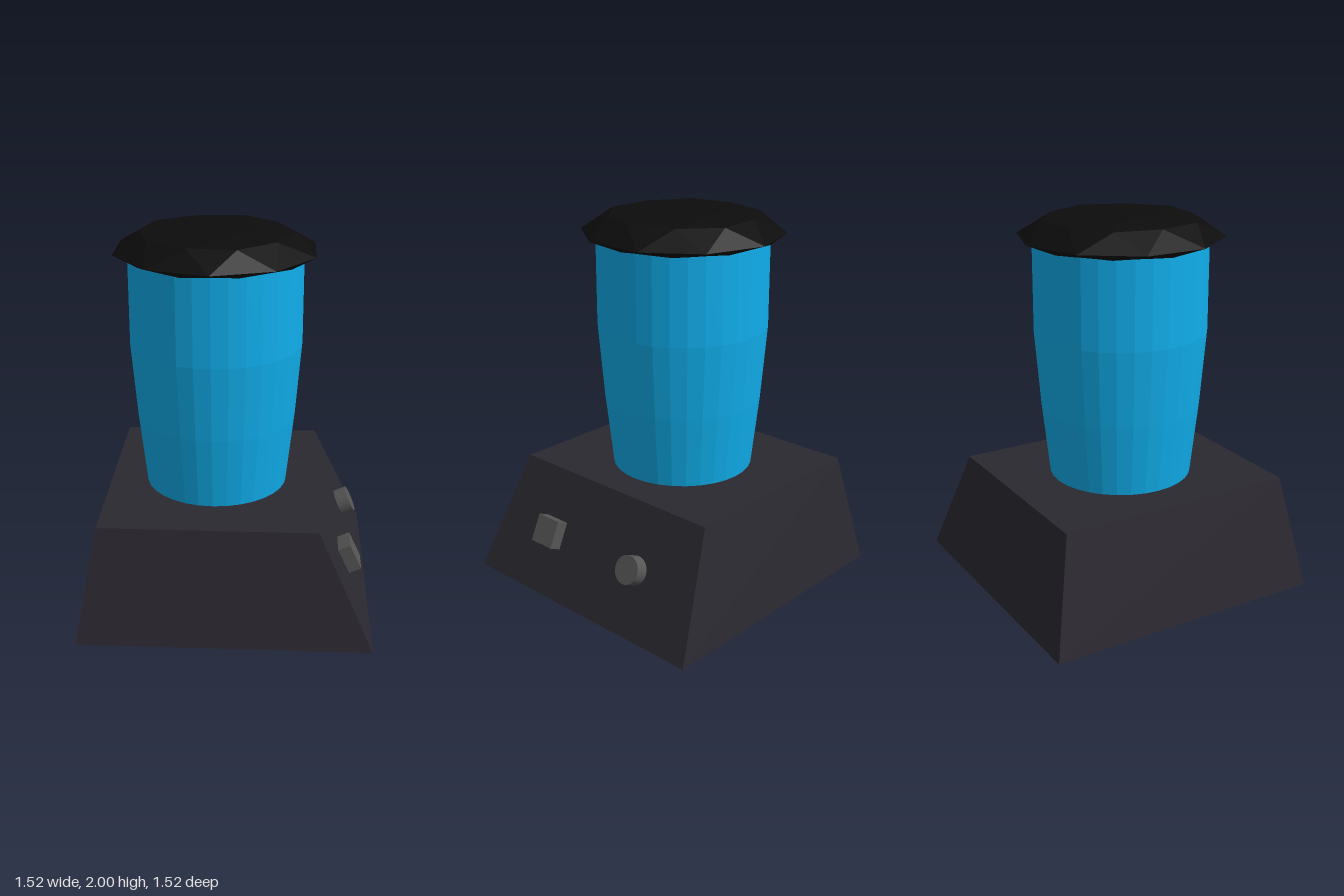
import * as THREE from 'three';

const AXIS_X = -0.075; // the jar sits off-centre on the base

function part(name, geometry, color, side = THREE.FrontSide) {
  const material = new THREE.MeshStandardMaterial({ color, flatShading: true, side });
  const mesh = new THREE.Mesh(geometry, material);
  mesh.name = name;
  return mesh;
}

// Box whose top is pulled in, with a longer slope on the control side
function baseGeometry() {
  const height = 0.615;
  const geo = new THREE.BoxGeometry(1.52, height, 1.52);
  geo.translate(0, height / 2, 0);
  const p = geo.attributes.position;
  for (let i = 0; i < p.count; i++) {
    if (p.getY(i) < 0.1) continue;
    p.setX(i, p.getX(i) > 0 ? 0.475 : -0.645);
    p.setZ(i, Math.sign(p.getZ(i)) * 0.645);
  }
  geo.computeVertexNormals();
  return geo;
}

// Faceted ball, one corner up, squashed into a shallow lid
function lidGeometry() {
  const geo = new THREE.IcosahedronGeometry(1, 1);
  geo.rotateZ(-Math.atan(2 / (1 + Math.sqrt(5))));
  const p = geo.attributes.position;
  for (let i = 0; i < p.count; i++) {
    const y = p.getY(i);
    const r = y > 0.2 ? 0.455 : 0.535;
    let height = 1.89;
    if (y > 0.7) height = 2;
    else if (y > 0.2) height = 1.98;
    else if (y < -0.5) height = 1.855;
    else if (y < -0.2) height = 1.86;
    p.setXYZ(i, p.getX(i) * r, height, p.getZ(i) * r);
  }
  geo.computeVertexNormals();
  return geo;
}

export function createModel() {
  const model = new THREE.Group();
  model.name = 'blender';

  model.add(part('base', baseGeometry(), 0x2b2930));

  // Jar, widening upwards
  const profile = [[0.375, 0.6], [0.378, 0.615], [0.42, 1], [0.452, 1.4], [0.452, 1.87]]
    .map(([r, y]) => new THREE.Vector2(r, y));
  const jar = part('jar', new THREE.LatheGeometry(profile, 32), 0x10aeec, THREE.DoubleSide);
  jar.position.x = AXIS_X;
  model.add(jar);

  const lid = part('lid', lidGeometry(), 0x0c0c0c);
  lid.position.x = AXIS_X;
  model.add(lid);

  // Controls stand square to the sloping panel
  const controls = new THREE.Group();
  controls.name = 'controls';
  controls.position.set(0.68, 0.337, 0);
  controls.rotation.z = -Math.atan2(0.615, 0.285);
  const depth = 0.12;
  const button = part('button', new THREE.BoxGeometry(0.148, depth, 0.15), 0x555555);
  button.position.set(0, -depth / 2, 0.308);
  const knob = part('knob', new THREE.CylinderGeometry(0.075, 0.075, depth, 32), 0x555555);
  knob.position.set(0, -depth / 2, -0.305);
  controls.add(button, knob);
  model.add(controls);

  return model;
}
